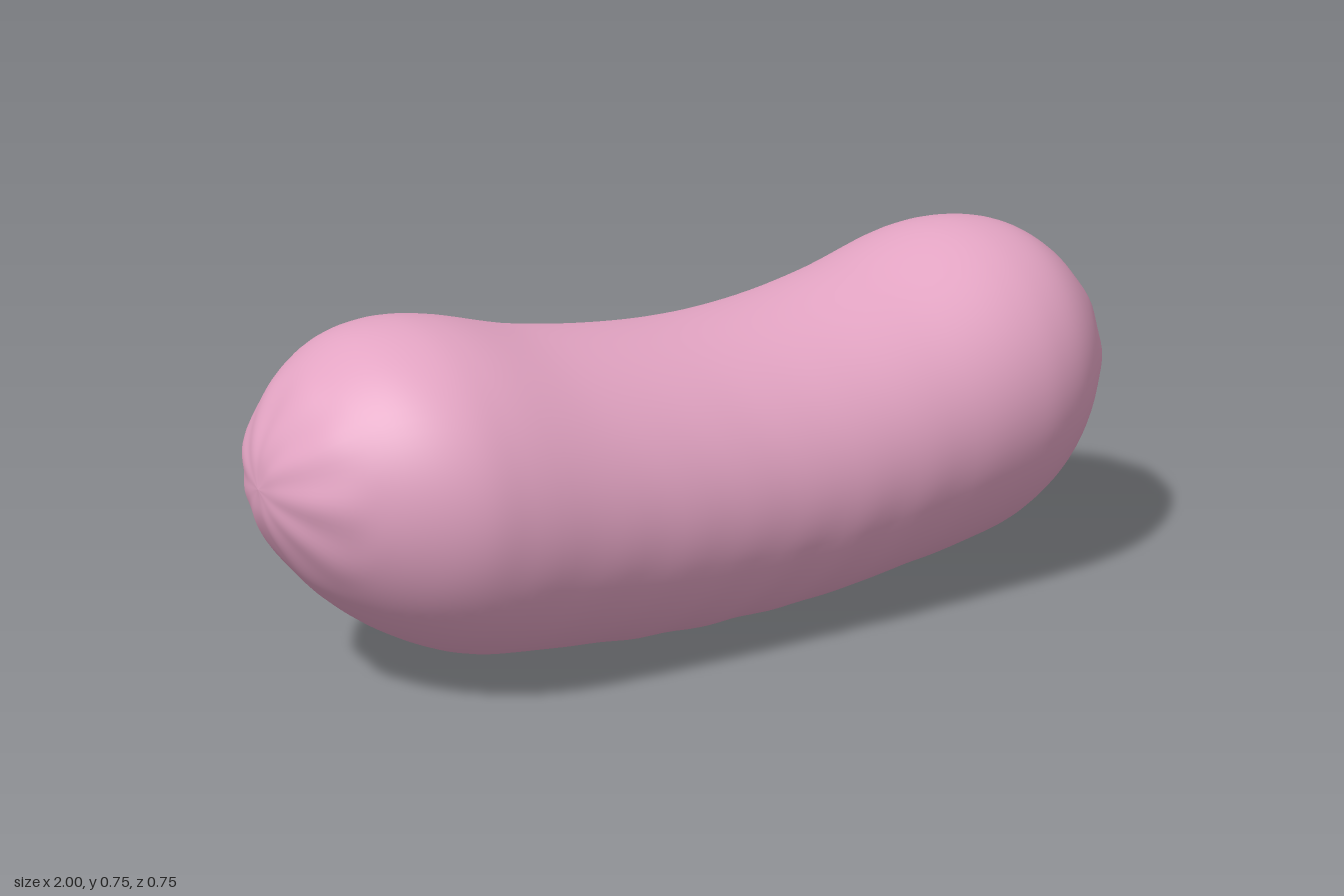
import * as THREE from 'three';

// Stations along the body: x, top height, bottom height, half depth
const STATIONS = [
  [-1, 0.455, 0.455, 0], [-0.99, 0.52, 0.39, 0.07], [-0.96, 0.58, 0.325, 0.145], [-0.9, 0.655, 0.24, 0.225],
  [-0.8, 0.72, 0.15, 0.31], [-0.7, 0.74, 0.09, 0.357], [-0.6, 0.732, 0.052, 0.37],
  [-0.4, 0.68, 0.026, 0.372], [-0.2, 0.65, 0.007, 0.372], [0, 0.638, 0.002, 0.37],
  [0.2, 0.65, 0.008, 0.372], [0.4, 0.688, 0.03, 0.372], [0.6, 0.748, 0.056, 0.37],
  [0.7, 0.755, 0.082, 0.355], [0.8, 0.735, 0.135, 0.313], [0.9, 0.67, 0.23, 0.23],
  [0.96, 0.595, 0.32, 0.15], [0.99, 0.53, 0.39, 0.07], [1, 0.455, 0.455, 0],
];
const RINGS = 120, SIDES = 72;

function bodyGeometry() {
  const outline = new THREE.CatmullRomCurve3(STATIONS.map(([x, top, bottom]) => new THREE.Vector3(x, top, bottom)));
  const depth = new THREE.CatmullRomCurve3(STATIONS.map(([x, , , d]) => new THREE.Vector3(x, d, 0)));
  const positions = [], indices = [];

  for (let i = 0; i <= RINGS; i++) {
    const p = outline.getPoint(i / RINGS), halfDepth = depth.getPoint(i / RINGS).y;
    const middle = (p.y + p.z) / 2, halfHeight = (p.y - p.z) / 2;
    const tip = Math.max(0, (Math.abs(p.x) - 0.88) / 0.12);

    for (let j = 0; j < SIDES; j++) {
      const a = (j / SIDES) * Math.PI * 2;
      // Gathered pleats at the tips and faint skin folds across the belly
      const pleat = 0.05 * tip * (Math.sin(9 * a) + 0.5 * Math.sin(5 * a + 1));
      const belly = (1 - Math.cos(a)) / 2 * Math.max(0, 1 - Math.abs(p.x) / 0.85);
      const fold = 0.007 * belly * Math.sin(38 * p.x + 2 * Math.sin(3 * a)) * Math.sin(2 * a + 4 * p.x);
      const s = 1 + pleat + fold;
      positions.push(p.x, middle + halfHeight * s * Math.cos(a), halfDepth * s * Math.sin(a));
    }
  }
  for (let i = 0; i < RINGS; i++) {
    for (let j = 0; j < SIDES; j++) {
      const k = (j + 1) % SIDES;
      const a = i * SIDES + j, b = i * SIDES + k, c = a + SIDES, d = b + SIDES;
      indices.push(a, b, c, b, d, c);
    }
  }

  const geometry = new THREE.BufferGeometry();
  geometry.setAttribute('position', new THREE.Float32BufferAttribute(positions, 3));
  geometry.setIndex(indices);
  geometry.computeVertexNormals();
  return geometry;
}

export function createModel() {
  const group = new THREE.Group();
  group.name = 'sausage';
  const body = new THREE.Mesh(bodyGeometry(), new THREE.MeshStandardMaterial({ color: 0xe3a4c3 }));
  body.name = 'sausageBody';
  group.add(body);
  return group;
}
